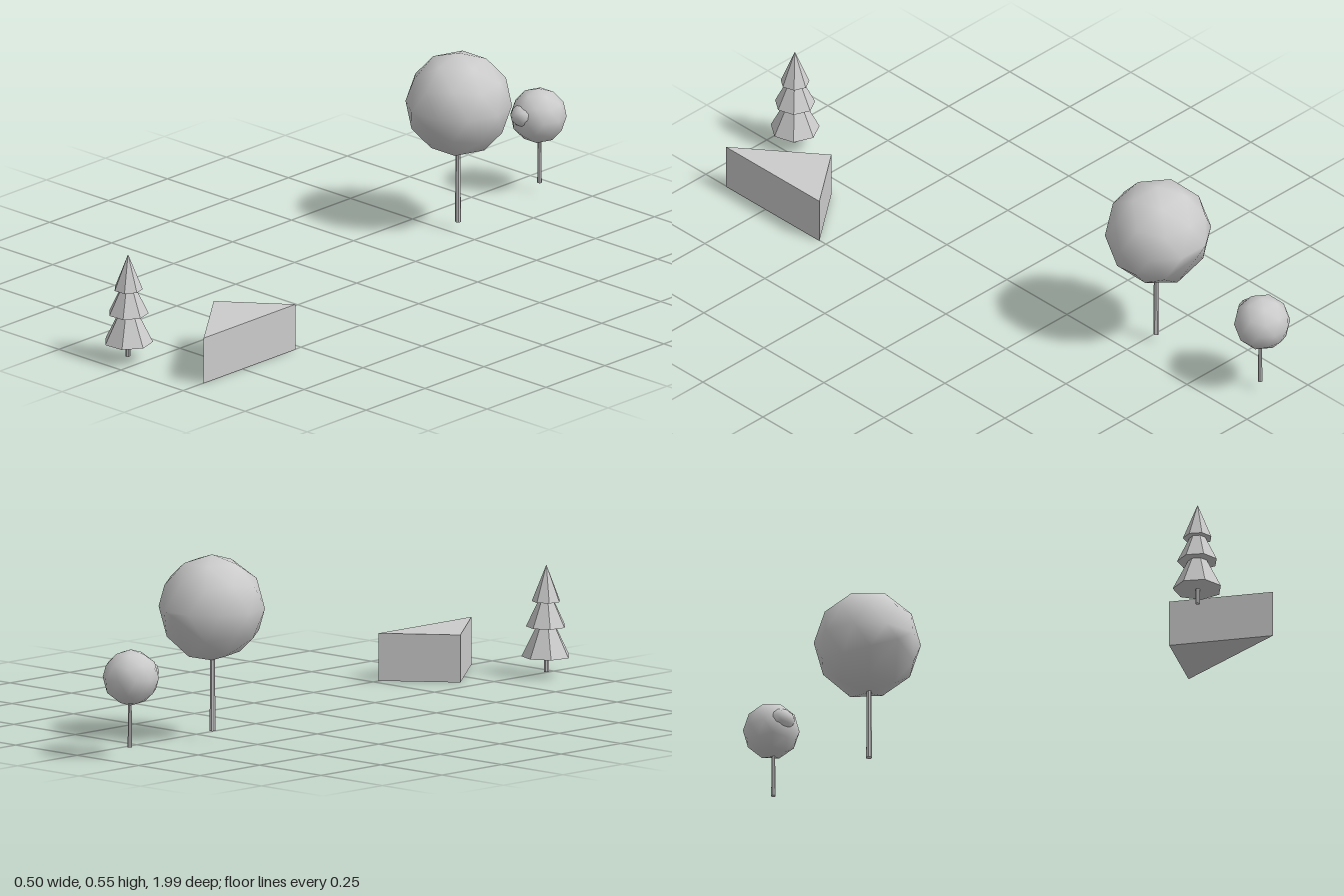
import * as THREE from 'three';
import { mergeVertices } from 'three/addons/utils/BufferGeometryUtils.js';

const smooth = new THREE.MeshStandardMaterial({ color: 0xcccccc });
const faceted = new THREE.MeshStandardMaterial({ color: 0xcccccc, flatShading: true });

function add(parent, name, geometry, material, x, y, z) {
  const mesh = new THREE.Mesh(geometry, material);
  mesh.name = name;
  mesh.position.set(x, y, z);
  parent.add(mesh);
  return mesh;
}

// Upright 80-face ball; each pull moves the vertex nearest "from" to "to" (unit radius)
function blob(radius, pulls = []) {
  let g = new THREE.IcosahedronGeometry(1, 1);
  g.deleteAttribute('normal');
  g.deleteAttribute('uv');
  g = mergeVertices(g, 1e-3);
  g.rotateZ(-Math.atan(2 / (1 + Math.sqrt(5)))).rotateY(-Math.PI / 2);
  const p = g.attributes.position;
  const v = new THREE.Vector3();
  for (const [from, to] of pulls) {
    const target = new THREE.Vector3(...from);
    let best = 0, bestDistance = Infinity;
    for (let i = 0; i < p.count; i++) {
      const d = v.fromBufferAttribute(p, i).distanceTo(target);
      if (d < bestDistance) { best = i; bestDistance = d; }
    }
    p.setXYZ(best, ...to);
  }
  g.scale(radius, radius, radius);
  g.computeVertexNormals();
  return g;
}

// Upright trunk standing between two heights
function trunk(parent, bottomRadius, topRadius, y0, y1, x, z) {
  const g = new THREE.CylinderGeometry(topRadius, bottomRadius, y1 - y0, 7);
  add(parent, 'trunk', g, faceted, x, (y0 + y1) / 2, z);
}

export function createModel() {
  const model = new THREE.Group();
  model.name = 'treesAndBlock';

  // Large round tree, its crown leaning out at the back
  const large = new THREE.Group();
  large.name = 'largeTree';
  add(large, 'crown', blob(0.157, [
    [[0, -0.45, -0.89], [0, -0.02, -1.08]],
    [[0, -0.85, -0.53], [0.05, -0.87, -0.56]],
    [[0, -0.53, 0.85], [0, -0.22, 0.9]],
  ]), smooth, -0.095, 0.392, -0.533);
  trunk(large, 0.009, 0.007, 0.025, 0.27, -0.093, -0.528);
  model.add(large);

  // Small round tree with a nub on the front of its crown
  const small = new THREE.Group();
  small.name = 'smallTree';
  add(small, 'crown', blob(0.083), smooth, -0.141, 0.238, -0.92);
  add(small, 'crownNub', blob(0.04), smooth, -0.148, 0.25, -0.864).scale.set(1, 0.85, 0.95);
  trunk(small, 0.007, 0.005, 0.03, 0.18, -0.135, -0.918);
  model.add(small);

  // Pine: three stacked seven-sided tiers [y0, y1, base radius, top radius]
  const pine = new THREE.Group();
  pine.name = 'pineTree';
  const tiers = [
    [0.058, 0.147, 0.073, 0.029],
    [0.147, 0.222, 0.06, 0.024],
    [0.222, 0.33, 0.043, 0],
  ];
  for (const [y0, y1, r0, r1] of tiers) {
    const g = new THREE.CylinderGeometry(r1, r0, y1 - y0, 7, 1, false, 1.41);
    add(pine, 'tier', g, faceted, -0.042, (y0 + y1) / 2, 0.926);
  }
  trunk(pine, 0.007, 0.007, 0.012, 0.06, -0.042, 0.926);
  model.add(pine);

  // Triangular block, drawn in plan and raised
  const plan = new THREE.Shape([
    new THREE.Vector2(0.06, -0.67),
    new THREE.Vector2(0.252, -0.915),
    new THREE.Vector2(0.252, -0.525),
  ]);
  const block = new THREE.ExtrudeGeometry(plan, { depth: 0.141, bevelEnabled: false });
  block.rotateX(-Math.PI / 2);
  add(model, 'triangularBlock', block, faceted, 0, 0, 0);

  return model;
}
